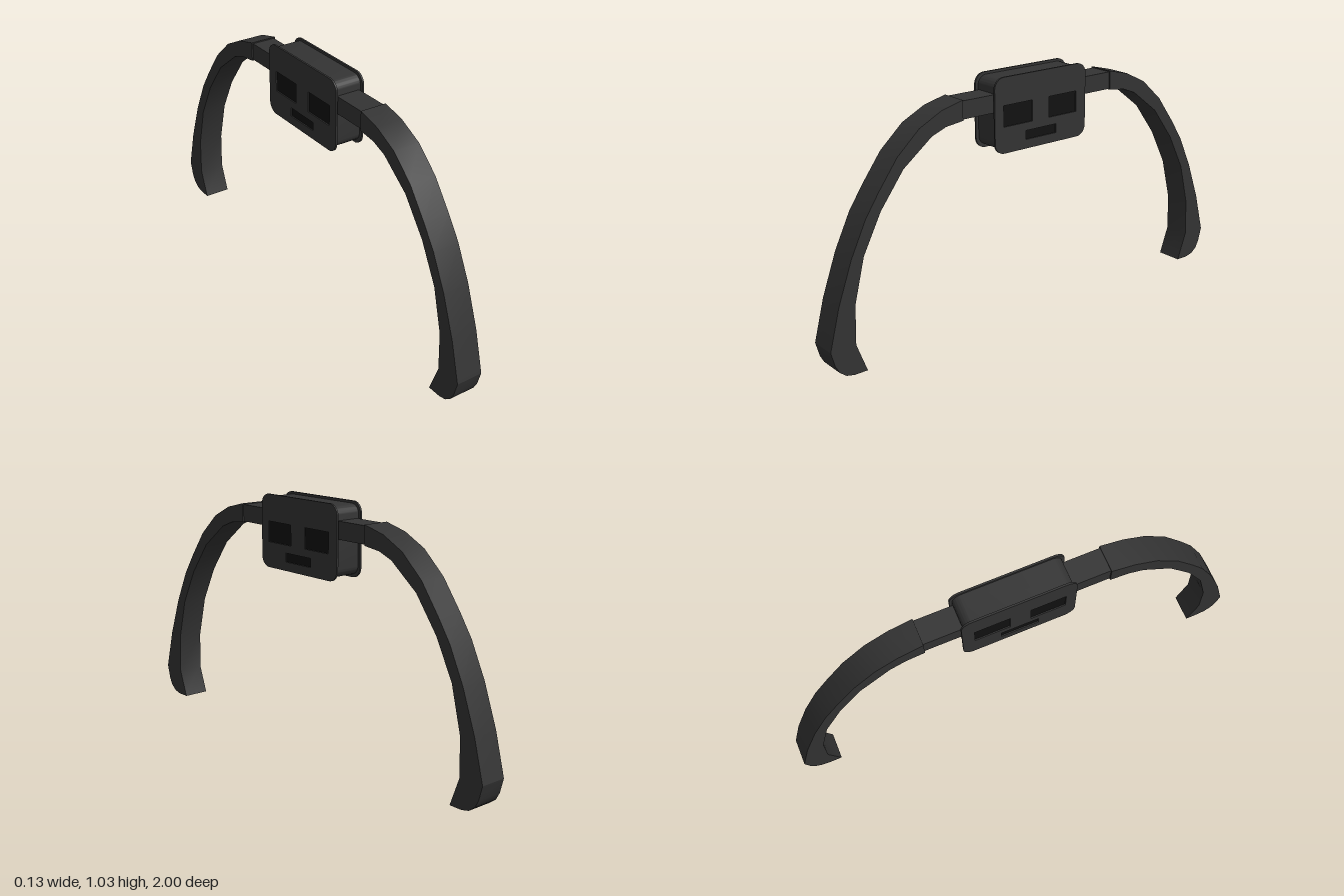
import * as THREE from 'three';
import { toCreasedNormals } from 'three/addons/utils/BufferGeometryUtils.js';

const dark = new THREE.MeshStandardMaterial({ color: 0x333333 });
const black = new THREE.MeshStandardMaterial({ color: 0x111111 });

// Extrudes a side profile (z, y) across x, from x0 to x1.
function sidePart(name, shape, x0, x1, material = dark) {
  const geo = new THREE.ExtrudeGeometry(shape, { depth: x1 - x0, bevelEnabled: false, curveSegments: 8 });
  geo.rotateY(-Math.PI / 2);
  geo.translate(x1, 0, 0);
  const mesh = new THREE.Mesh(toCreasedNormals(geo, 0.45), material);
  mesh.name = name;
  return mesh;
}

function trace(path, z0, z1, y0, y1, r = 0) {
  path.moveTo(z0 + r, y0);
  path.lineTo(z1 - r, y0);
  if (r) path.absarc(z1 - r, y0 + r, r, -Math.PI / 2, 0);
  path.lineTo(z1, y1 - r);
  if (r) path.absarc(z1 - r, y1 - r, r, 0, Math.PI / 2);
  path.lineTo(z0 + r, y1);
  if (r) path.absarc(z0 + r, y1 - r, r, Math.PI / 2, Math.PI);
  path.lineTo(z0, y0 + r);
  if (r) path.absarc(z0 + r, y0 + r, r, Math.PI, Math.PI * 1.5);
  return path;
}

const points = (list) => list.map(([z, y]) => new THREE.Vector2(z, y));

// Curved arm: outer edge down to the rounded foot, then back up the inner edge
function armShape() {
  const outer = points([[0.38, 0.97], [0.48, 0.945], [0.58, 0.895], [0.68, 0.805], [0.765, 0.69],
    [0.825, 0.6], [0.893, 0.46], [0.955, 0.29], [1, 0.12]]);
  const foot = points([[0.984, 0.06], [0.968, 0.03], [0.94, 0.008], [0.905, 0], [0.848, 0]]);
  const inner = points([[0.892, 0.12], [0.886, 0.28], [0.84, 0.46], [0.76, 0.615],
    [0.655, 0.755], [0.525, 0.855], [0.46, 0.88], [0.38, 0.89]]);
  return new THREE.Shape([...outer, ...foot, ...inner].reverse());
}

export function createModel() {
  const model = new THREE.Group();
  model.name = 'headband';

  // Arms and their short connecting straps, front and back
  for (const [name, turn] of [['front', 0], ['back', Math.PI]]) {
    const side = new THREE.Group();
    side.name = name + 'Arm';
    side.add(sidePart('curvedArm', armShape(), -0.057, 0.057));
    side.add(sidePart('strap', trace(new THREE.Shape(), 0.2, 0.4, 0.893, 0.965), -0.051, 0.051));
    side.rotation.y = turn;
    model.add(side);
  }

  // Central housing
  model.add(sidePart('housing', trace(new THREE.Shape(), -0.222, 0.222, 0.737, 1.02, 0.04), -0.057, 0.057));

  // Cover plates with recessed dark windows on both sides
  const windows = [[0.047, 0.192, 0.832, 0.918], [-0.183, -0.038, 0.832, 0.918], [-0.076, 0.08, 0.762, 0.799]];
  for (const [name, x0, x1] of [['left', 0.057, 0.065], ['right', -0.065, -0.057]]) {
    const plate = trace(new THREE.Shape(), -0.233, 0.235, 0.725, 1.03, 0.045);
    plate.holes = windows.map((w) => trace(new THREE.Path(), ...w));
    model.add(sidePart(name + 'CoverPlate', plate, x0, x1));
    windows.forEach((w, i) => {
      const inset = sidePart(`${name}Window${i + 1}`, trace(new THREE.Shape(), ...w), -0.002, 0.002, black);
      inset.position.x = Math.sign(x0) * 0.058;
      model.add(inset);
    });
  }
  return model;
}
